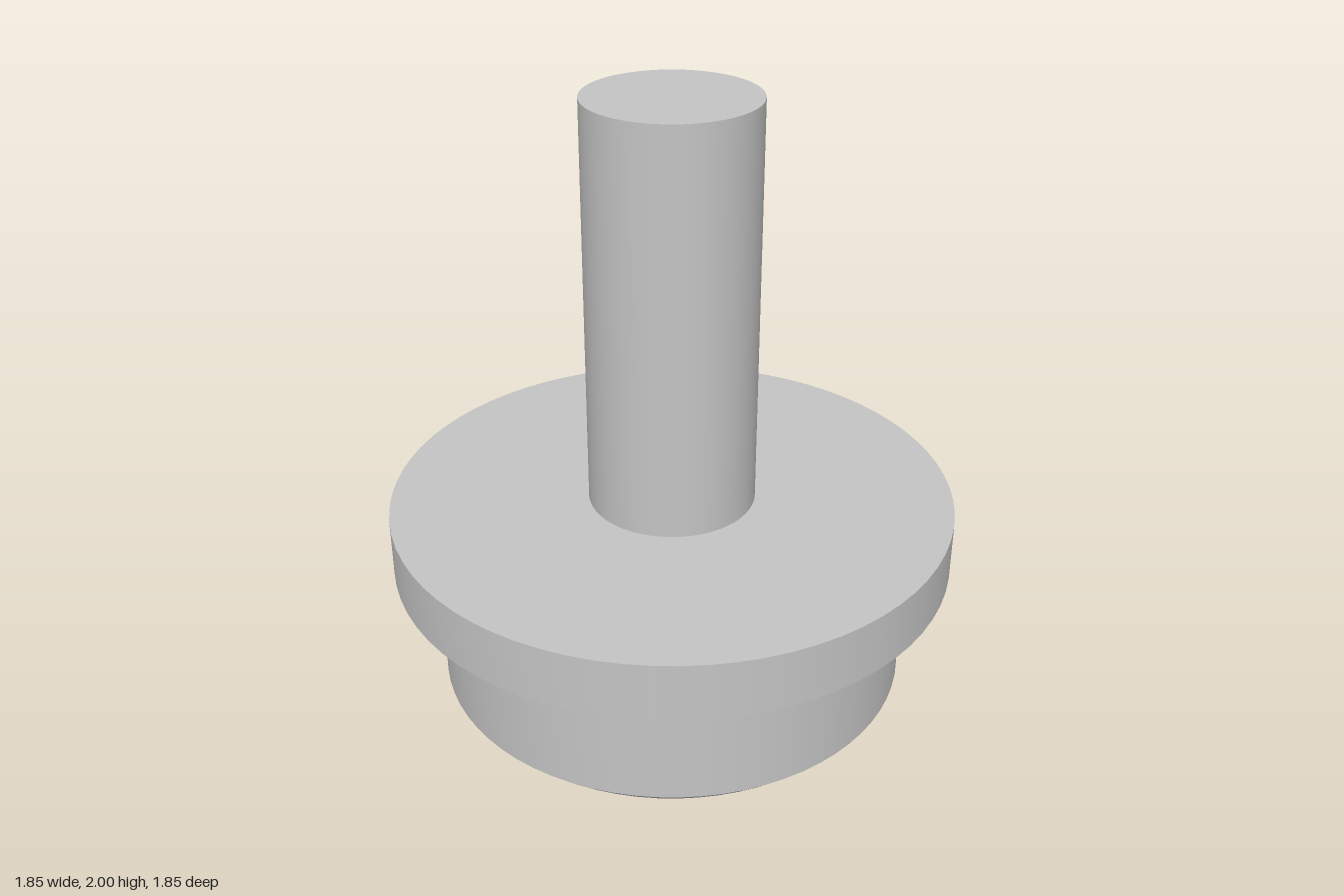
import * as THREE from 'three';
import { toCreasedNormals } from 'three/addons/utils/BufferGeometryUtils.js';

const SEGMENTS = 72;
const BASE_R = 0.733;
const POCKET_DEPTH = 0.095;

// Open surface of revolution with crisp corners; profile runs bottom to top.
function turned(name, profile, material) {
  const points = profile.map(([r, y]) => new THREE.Vector2(r, y));
  const geometry = toCreasedNormals(new THREE.LatheGeometry(points, SEGMENTS), 0.5);
  const mesh = new THREE.Mesh(geometry, material);
  mesh.name = name;
  return mesh;
}

// Flat face looking down; shape x, y become world x, z.
function downFace(name, shape, y, material) {
  const geometry = new THREE.ShapeGeometry(shape, SEGMENTS).rotateX(Math.PI / 2);
  const mesh = new THREE.Mesh(geometry, material);
  mesh.name = name;
  mesh.position.y = y;
  return mesh;
}

// Recess in the underside: inward-facing walls and a floor (outline counter-clockwise).
function pocket(name, outline, material) {
  const positions = [];
  outline.forEach((p, i) => {
    const q = outline[(i + 1) % outline.length];
    const a = [p.x, 0, p.y], b = [q.x, 0, q.y];
    const c = [q.x, POCKET_DEPTH, q.y], d = [p.x, POCKET_DEPTH, p.y];
    positions.push(...a, ...b, ...c, ...a, ...c, ...d);
  });
  const geometry = new THREE.BufferGeometry();
  geometry.setAttribute('position', new THREE.Float32BufferAttribute(positions, 3));
  geometry.computeVertexNormals();
  const walls = new THREE.Mesh(geometry, material);
  walls.name = name + 'Walls';
  const group = new THREE.Group();
  group.name = name;
  group.add(walls, downFace(name + 'Floor', new THREE.Shape(outline), POCKET_DEPTH, material));
  return group;
}

export function createModel() {
  const model = new THREE.Group();
  model.name = 'flangedStud';
  const grey = new THREE.MeshStandardMaterial({ color: 0xc4c4c4 });
  grey.name = 'grey';

  // Chamfered base, wide flange and tall stem
  model.add(
    turned('base', [[BASE_R, 0], [0.778, 0.046], [0.778, 0.465]], grey),
    turned('flange', [[0.778, 0.465], [0.924, 0.465], [0.924, 0.66], [0.274, 0.66]], grey),
    turned('stem', [[0.274, 0.66], [0.274, 2], [0, 2]], grey)
  );

  // Triangular and slot recesses in the underside
  const triangle = [90, 210, 330].map((deg) => {
    const a = THREE.MathUtils.degToRad(deg);
    return new THREE.Vector2(0.375 * Math.cos(a), -0.105 + 0.375 * Math.sin(a));
  });
  const slot = [[-0.33, 0.38], [0.33, 0.38], [0.33, 0.515], [-0.33, 0.515]]
    .map(([x, z]) => new THREE.Vector2(x, z));
  model.add(pocket('trianglePocket', triangle, grey), pocket('slotPocket', slot, grey));

  // Underside with both recesses cut out
  const disc = new THREE.Shape().absarc(0, 0, BASE_R, 0, Math.PI * 2, false);
  disc.holes.push(new THREE.Path(triangle), new THREE.Path(slot));
  model.add(downFace('underside', disc, 0, grey));

  return model;
}
